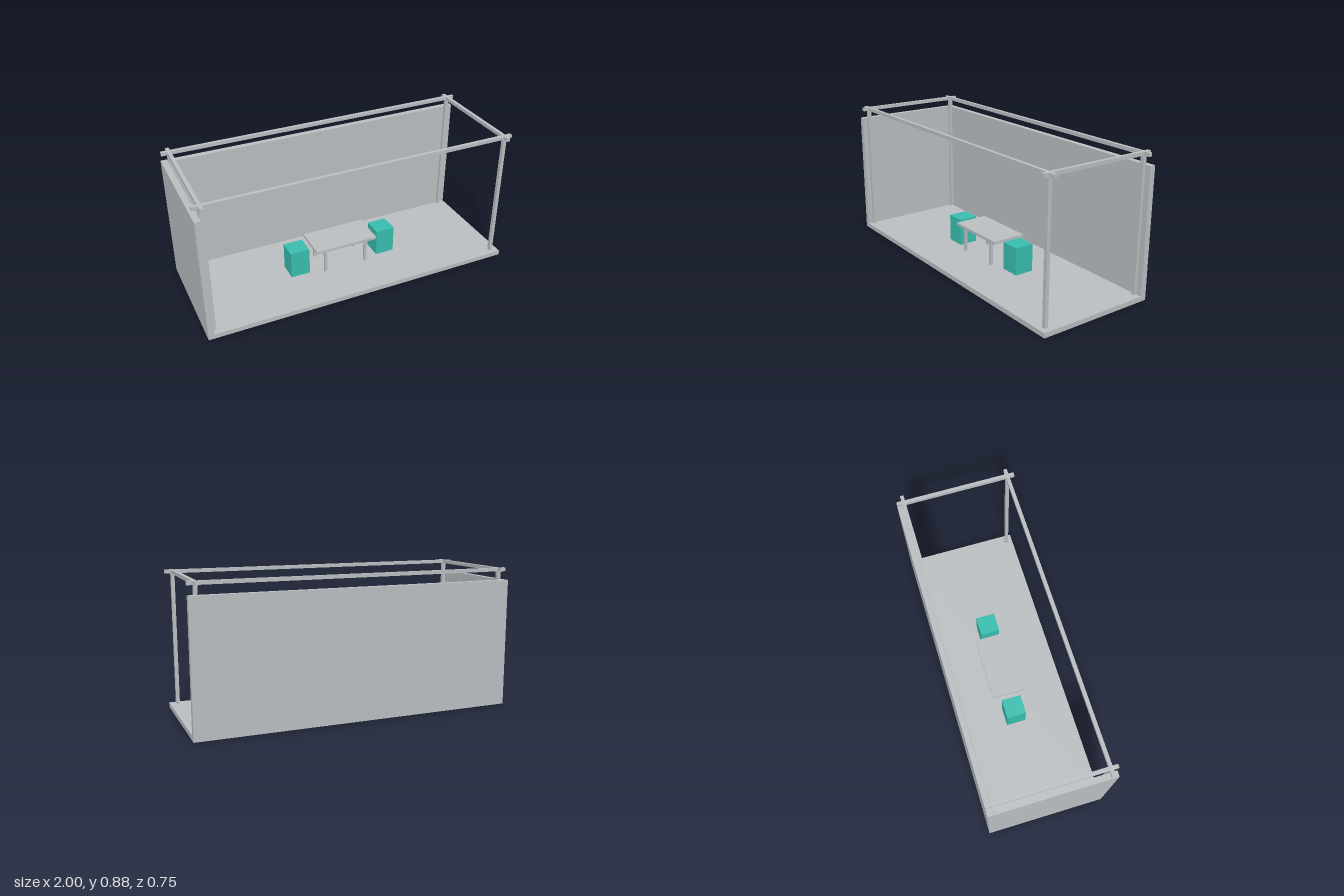
import * as THREE from 'three';

export function createModel() {
  const model = new THREE.Group();
  model.name = 'exhibitionBooth';

  const grey = new THREE.MeshStandardMaterial({ color: 0xbabec1 });
  grey.name = 'light grey';
  const teal = new THREE.MeshStandardMaterial({ color: 0x38bdae });
  teal.name = 'teal';

  // Box given by its lower and upper limits on each axis
  function box(name, [x0, x1], [y0, y1], [z0, z1], material = grey, parent = model) {
    const mesh = new THREE.Mesh(new THREE.BoxGeometry(x1 - x0, y1 - y0, z1 - z0), material);
    mesh.position.set((x0 + x1) / 2, (y0 + y1) / 2, (z0 + z1) / 2);
    mesh.name = name;
    parent.add(mesh);
  }
  const around = (c, size) => [c - size / 2, c + size / 2];

  const X = 1, Z = 0.374, floorTop = 0.03, wallTop = 0.8, wall = 0.036;

  // Floor slab, back wall and one side wall; front and other side stay open
  box('floor', [-X, X], [0, floorTop], [-Z, Z]);
  box('backWall', [-X, X], [floorTop, wallTop], [-Z, -Z + wall]);
  box('sideWall', [-X, -X + wall], [floorTop, wallTop], [-Z + wall, Z]);

  // Frame: four corner posts under beams that cross at the corners
  const frame = new THREE.Group();
  frame.name = 'frame';
  model.add(frame);
  const bar = 0.022, postX = 0.953, postZ = 0.331, beamY = [0.853, 0.875];
  for (const sx of [-1, 1]) {
    for (const sz of [-1, 1]) {
      box('cornerPost', around(sx * postX, bar), [floorTop, beamY[0]], around(sz * postZ, bar), grey, frame);
    }
    box('sideBeam', around(sx * postX, bar), beamY, [-Z, Z], grey, frame);
  }
  for (const sz of [-1, 1]) {
    box('longBeam', [-X, X], beamY, around(sz * postZ, bar), grey, frame);
  }

  // Table with four square legs
  const table = new THREE.Group();
  table.name = 'table';
  model.add(table);
  box('tableTop', [-0.208, 0.206], [0.19, 0.208], [-0.111, 0.111], grey, table);
  for (const x of [-0.141, 0.139]) {
    for (const z of [-0.088, 0.088]) {
      box('tableLeg', around(x, 0.017), [floorTop, 0.19], around(z, 0.017), grey, table);
    }
  }

  // Block stools at either end of the table
  for (const x of [-0.302, 0.298]) {
    box('stool', around(x, 0.125), [floorTop, 0.206], around(0, 0.125), teal);
  }

  return model;
}
